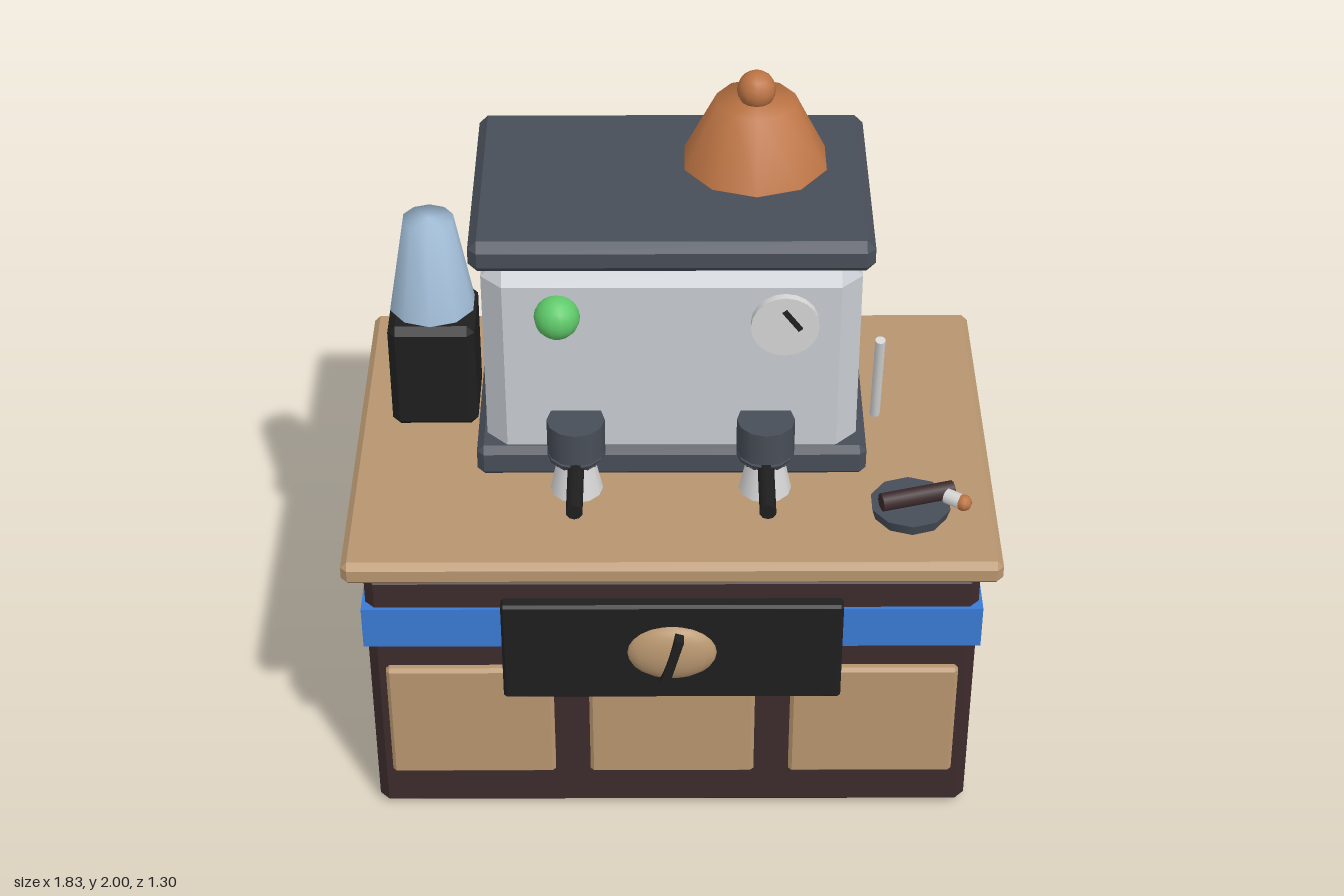
import * as THREE from 'three';
import { ConvexGeometry } from 'three/addons/geometries/ConvexGeometry.js';

const mat = (name, color) => {
  const m = new THREE.MeshStandardMaterial({ color });
  m.name = name;
  return m;
};

export function createModel() {
  const model = new THREE.Group();
  model.name = 'coffeeCounter';

  const brown = mat('dark brown wood', 0x3d2b2d);
  const tan = mat('tan wood', 0xb8966f);
  const blue = mat('blue band', 0x3a7bd5);
  const black = mat('black', 0x1f1f20);
  const steel = mat('steel', 0xc8ccd2);
  const slate = mat('slate', 0x484e58);
  const copper = mat('copper', 0xbc7444);
  const green = mat('green', 0x5fc96a);
  const glass = mat('pale blue', 0xa3bfd9);
  const white = mat('off white', 0xd6d6d6);

  const add = (name, geometry, material, x = 0, y = 0, z = 0) => {
    const mesh = new THREE.Mesh(geometry, material);
    mesh.name = name;
    mesh.position.set(x, y, z);
    model.add(mesh);
    return mesh;
  };

  // Box given by its extents, with all edges chamfered by c
  const chamferBox = (name, material, [x0, x1], [y0, y1], [z0, z1], c) => {
    const half = [(x1 - x0) / 2, (y1 - y0) / 2, (z1 - z0) / 2];
    const points = [];
    for (const sx of [-1, 1]) for (const sy of [-1, 1]) for (const sz of [-1, 1])
      for (let axis = 0; axis < 3; axis++) {
        const p = [sx, sy, sz].map((s, i) => s * (half[i] - (i === axis ? 0 : c)));
        points.push(new THREE.Vector3(...p));
      }
    return add(name, new ConvexGeometry(points), material, (x0 + x1) / 2, (y0 + y1) / 2, (z0 + z1) / 2);
  };

  // Cylinder between two points
  const rod = (name, material, a, b, r, sides = 10) => {
    const from = new THREE.Vector3(...a), to = new THREE.Vector3(...b);
    const dir = to.clone().sub(from);
    const mesh = add(name, new THREE.CylinderGeometry(r, r, dir.length(), sides), material);
    mesh.position.copy(from).add(to).multiplyScalar(0.5);
    mesh.quaternion.setFromUnitVectors(new THREE.Vector3(0, 1, 0), dir.normalize());
    return mesh;
  };

  const lathe = (points, sides) =>
    new THREE.LatheGeometry(points.map(([r, y]) => new THREE.Vector2(r, y)), sides);

  // Counter
  chamferBox('cabinet', brown, [-0.86, 0.86], [0, 0.87], [-0.6, 0.55], 0.027);
  add('blueBand', new THREE.BoxGeometry(1.74, 0.135, 1.17), blue, 0, 0.693, -0.025);
  chamferBox('countertop', tan, [-0.915, 0.915], [0.87, 0.942], [-0.648, 0.592], 0.018);
  for (const x of [-0.575, 0, 0.575])
    chamferBox('frontPanel', tan, [x - 0.237, x + 0.237], [0.153, 0.548], [0.54, 0.575], 0.01);

  // Sign board with coffee bean
  chamferBox('signBoard', black, [-0.478, 0.478], [0.465, 0.803], [0.555, 0.6], 0.008);
  add('bean', new THREE.SphereGeometry(1, 16, 12), tan, 0, 0.637, 0.592).scale.set(0.13, 0.095, 0.048);
  add('beanSlit', new THREE.BoxGeometry(0.025, 0.165, 0.05), black, 0, 0.637, 0.625).rotation.z = -0.26;

  // Espresso machine
  chamferBox('machineBase', slate, [-0.555, 0.555], [0.942, 1.04], [-0.535, 0.188], 0.02);
  chamferBox('machineBody', steel, [-0.527, 0.527], [0.975, 1.635], [-0.507, 0.165], 0.06);
  chamferBox('machineLid', slate, [-0.555, 0.555], [1.63, 1.725], [-0.535, 0.188], 0.025);

  // Copper dome and knob
  add('dome', lathe([[0, 0], [0.21, 0], [0.21, 0.001], [0.115, 0.19], [0, 0.192]], 10), copper, 0.237, 1.725, -0.27);
  add('domeKnob', new THREE.SphereGeometry(0.055, 12, 8), copper, 0.237, 1.948, -0.27);

  // Lamp and gauge
  add('greenLamp', new THREE.SphereGeometry(0.064, 14, 10), green, -0.316, 1.488, 0.176);
  rod('gauge', white, [0.313, 1.46, 0.155], [0.313, 1.46, 0.188], 0.095, 20);
  add('gaugeNeedle', new THREE.BoxGeometry(0.015, 0.075, 0.008), black, 0.333, 1.483, 0.19).rotation.z = 0.65;

  // Brew heads with handles and cups
  for (const x of [-0.27, 0.265]) {
    add('brewHead', new THREE.CylinderGeometry(0.082, 0.082, 0.12, 12), slate, x, 1.1, 0.208);
    add('brewSpout', new THREE.CylinderGeometry(0.08, 0.06, 0.035, 12), slate, x, 1.04, 0.22);
    rod('brewHandle', black, [x, 1.038, 0.25], [x, 1.038, 0.475], 0.024);
    add('cup', new THREE.CylinderGeometry(0.05, 0.075, 0.118, 12), white, x, 1.0, 0.235);
  }

  // Steam lever
  rod('steamLever', white, [0.589, 1.02, -0.012], [0.589, 1.322, 0.052], 0.015);

  // Grinder
  chamferBox('grinderBody', black, [-0.815, -0.565], [0.942, 1.285], [-0.302, -0.052], 0.022);
  add('grinderNeck', new THREE.CylinderGeometry(0.105, 0.105, 0.03, 8), black, -0.69, 1.285, -0.18);
  add('grinderHopper', lathe([[0, 0], [0.126, 0], [0.126, 0.001], [0.074, 0.288], [0, 0.29]], 10), glass, -0.69, 1.295, -0.18);

  // Ashtray with cigar
  add('ashtray', new THREE.CylinderGeometry(0.115, 0.105, 0.035, 10), slate, 0.67, 0.96, 0.352);
  rod('cigar', brown, [0.585, 1.0, 0.383], [0.79, 1.0, 0.323], 0.026);
  rod('cigarAsh', white, [0.77, 1.0, 0.352], [0.808, 1.0, 0.38], 0.022);
  add('cigarEmber', new THREE.SphereGeometry(0.024, 8, 6), copper, 0.815, 1.0, 0.385);

  return model;
}
